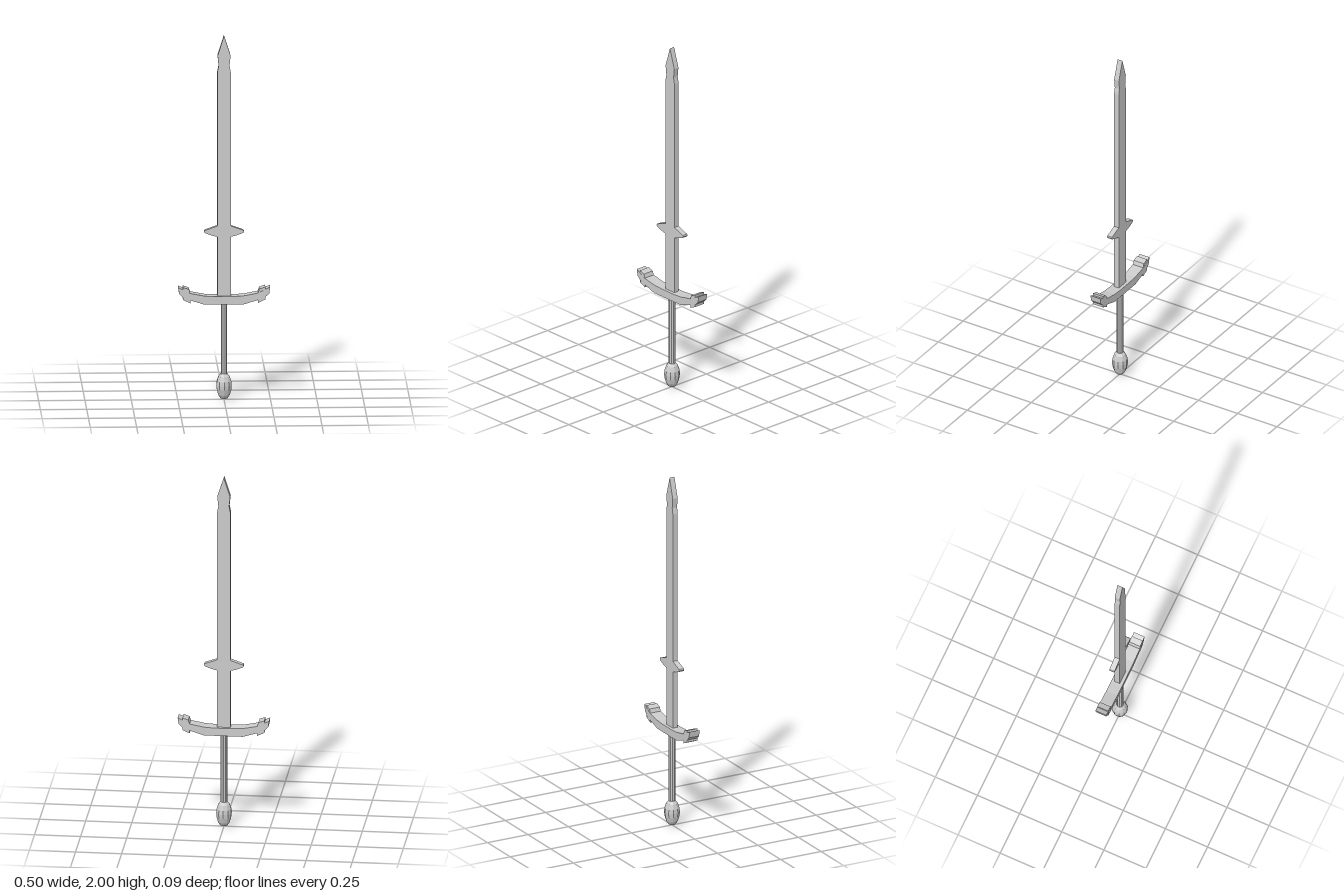
import * as THREE from 'three';

const material = new THREE.MeshStandardMaterial({ color: 0xcccccc, flatShading: true });

// Outline given for the +x half (bottom to top), mirrored and extruded about z = 0
function mirroredPlate(name, half, depth) {
  const other = half.filter(([x]) => x > 0).map(([x, y]) => [-x, y]).reverse();
  const shape = new THREE.Shape([...half, ...other].map(([x, y]) => new THREE.Vector2(x, y)));
  return plate(name, shape, depth);
}

function plate(name, shape, depth) {
  const geometry = new THREE.ExtrudeGeometry(shape, { depth, bevelEnabled: false });
  geometry.translate(0, 0, -depth / 2);
  return mesh(name, geometry);
}

function mesh(name, geometry) {
  const m = new THREE.Mesh(geometry, material);
  m.name = name;
  return m;
}

export function createModel() {
  const sword = new THREE.Group();
  sword.name = 'sword';

  // Blade with side lugs, a notch and a flared point
  sword.add(mirroredPlate('blade', [
    [0.036, 0.55], [0.036, 0.895], [0.07, 0.904], [0.104, 0.917], [0.108, 0.924],
    [0.104, 0.931], [0.07, 0.943], [0.036, 0.955], [0.036, 1.8], [0.029, 1.835],
    [0.035, 1.89], [0, 2],
  ], 0.03));

  // Upswept crossguard
  sword.add(mirroredPlate('crossguard', [
    [0.105, 0.527], [0.2, 0.556], [0.222, 0.568], [0.222, 0.608],
    [0.183, 0.589], [0.105, 0.574], [0.05, 0.571],
  ], 0.066));

  // Collar and flared tip at each end of the guard
  for (const side of [1, -1]) {
    const collar = new THREE.Shape([
      [0.183, 0.535], [0.222, 0.553], [0.222, 0.622], [0.19, 0.611], [0.183, 0.59],
    ].map(([x, y]) => new THREE.Vector2(side * x, y)));
    sword.add(plate(side > 0 ? 'leftCollar' : 'rightCollar', collar, 0.064));

    const tip = new THREE.Shape([
      [0.215, 0.56], [0.243, 0.586], [0.248, 0.621], [0.215, 0.606],
    ].map(([x, y]) => new THREE.Vector2(side * x, y)));
    const end = plate(side > 0 ? 'leftGuardTip' : 'rightGuardTip', tip, 0.066);
    // Narrow the outer end a little
    const p = end.geometry.attributes.position;
    for (let i = 0; i < p.count; i++) {
      if (Math.abs(p.getX(i)) > 0.23) p.setZ(i, p.getZ(i) * 0.94);
    }
    end.geometry.computeVertexNormals();
    sword.add(end);
  }

  // Grip
  const grip = new THREE.CylinderGeometry(0.018, 0.018, 0.42, 10);
  grip.translate(0, 0.335, 0);
  sword.add(mesh('grip', grip));

  // Egg-shaped faceted pommel
  const profile = [
    [0, 0], [0.019, 0.006], [0.032, 0.025], [0.041, 0.055], [0.043, 0.078],
    [0.041, 0.1], [0.032, 0.127], [0.019, 0.142], [0, 0.145],
  ].map(([r, y]) => new THREE.Vector2(r, y));
  sword.add(mesh('pommel', new THREE.LatheGeometry(profile, 10)));

  return sword;
}
